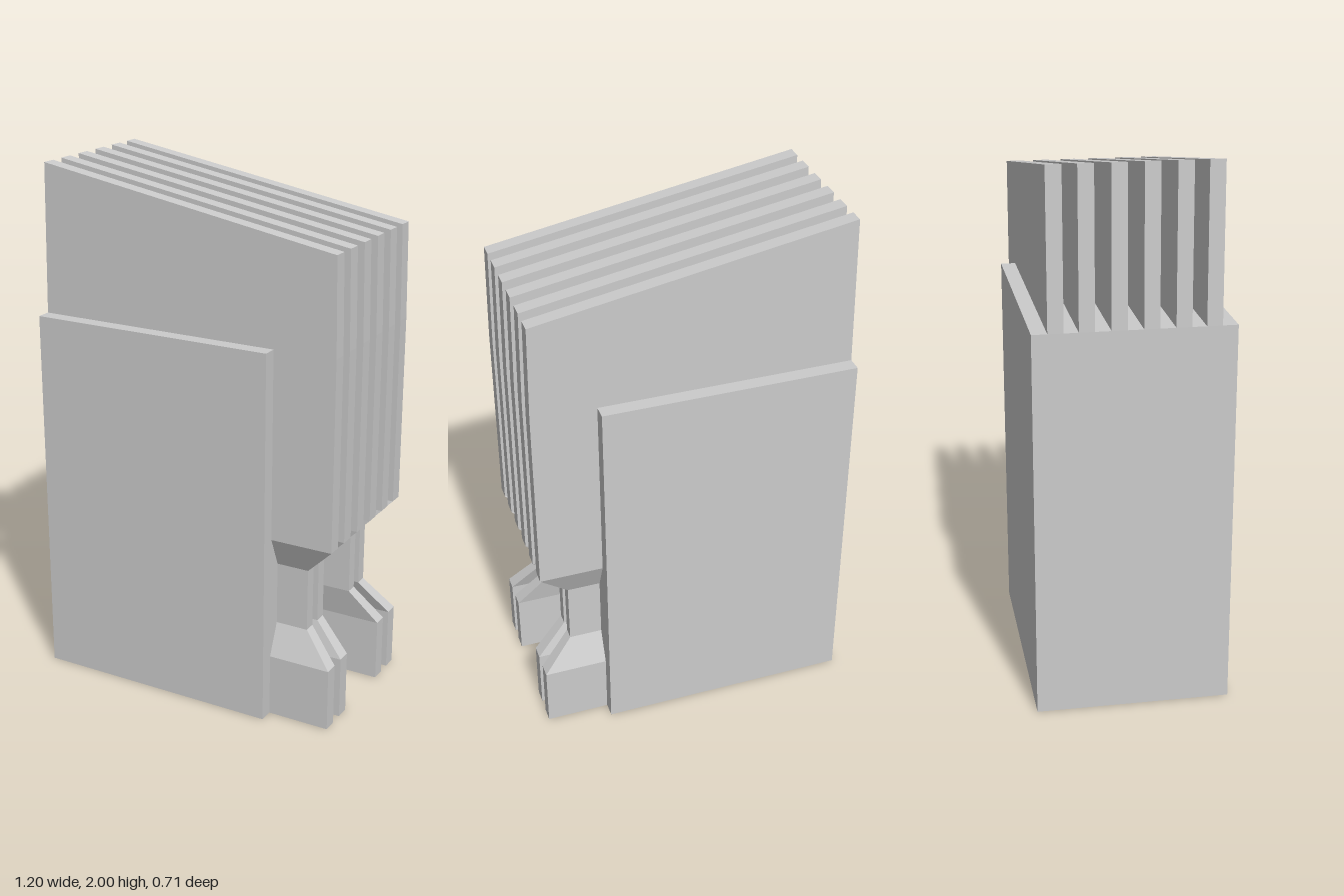
import * as THREE from 'three';

const material = new THREE.MeshStandardMaterial({ color: 0xcccccc, flatShading: true });
const BLOCK = { back: -0.6, front: 0.355, height: 1.435, half: 0.355 };
const FIN_Z = [0.2725, 0.1665, 0.0555];
const FIN_HALF = 0.0275;

// Skins a stack of four-cornered rings, listed from bottom to top, and caps both ends
function loft(rings) {
  const positions = rings.flat(2);
  const index = [0, 1, 2, 0, 2, 3];
  for (let r = 0; r < rings.length - 1; r++) {
    for (let i = 0; i < 4; i++) {
      const a = r * 4 + i, b = r * 4 + (i + 1) % 4;
      index.push(a, a + 4, b + 4, a, b + 4, b);
    }
  }
  const t = (rings.length - 1) * 4;
  index.push(t, t + 2, t + 1, t, t + 3, t + 2);
  const indexed = new THREE.BufferGeometry();
  indexed.setAttribute('position', new THREE.Float32BufferAttribute(positions, 3));
  indexed.setIndex(index);
  const geometry = indexed.toNonIndexed();
  geometry.computeVertexNormals();
  return geometry;
}

// One upright fin: pinched waist low on the front edge, sloping top
function finGeometry(z, hasFoot) {
  const inside = BLOCK.front - 0.03;
  // y at rear edge, y at front edge, rear x, front x, sideways squeeze
  const foot = [
    [0, 0, inside, 0.595, 1],
    [0.24, 0.24, inside, 0.595, 1],
    [0.36, 0.36, inside, 0.48, 0.83],
  ];
  const body = [
    [0.6, 0.6, inside, 0.48, 0.83],
    [0.715, 0.715, inside, 0.595, 1],
    [BLOCK.height, BLOCK.height, inside, 0.595, 1],
    [BLOCK.height, BLOCK.height, BLOCK.back, 0.595, 1],
    [2, 1.795, -0.588, 0.588, 1],
  ];
  const levels = hasFoot ? [...foot, ...body] : body;
  return loft(levels.map(([yRear, yFront, x0, x1, squeeze]) => {
    const z0 = (z - FIN_HALF) * squeeze, z1 = (z + FIN_HALF) * squeeze;
    return [[x0, yRear, z0], [x1, yFront, z0], [x1, yFront, z1], [x0, yRear, z1]];
  }));
}

function rectangle(target, z0, z1, y0, y1) {
  target.moveTo(z0, y0);
  target.lineTo(z1, y0);
  target.lineTo(z1, y1);
  target.lineTo(z0, y1);
  target.closePath();
  return target;
}

export function createModel() {
  const model = new THREE.Group();
  model.name = 'finnedBlock';
  const add = (geometry, name) => {
    const mesh = new THREE.Mesh(geometry, material);
    mesh.name = name;
    model.add(mesh);
    return mesh;
  };

  // Solid rear of the block
  const recess = 0.04;
  const depth = BLOCK.front - recess - BLOCK.back;
  add(new THREE.BoxGeometry(depth, BLOCK.height, BLOCK.half * 2), 'block')
    .position.set(BLOCK.back + depth / 2, BLOCK.height / 2, 0);

  // Face plate with a narrow slot between each pair of fins
  const plate = rectangle(new THREE.Shape(), -BLOCK.half, BLOCK.half, 0, BLOCK.height);
  for (let i = -2; i <= 2; i++) {
    const z = i * 0.11;
    plate.holes.push(rectangle(new THREE.Path(), z - 0.0175, z + 0.0175, 0.725, 1.423));
  }
  const face = add(new THREE.ExtrudeGeometry(plate, { depth: recess, bevelEnabled: false }), 'slottedFace');
  face.rotation.y = Math.PI / 2;
  face.position.x = BLOCK.front - recess;

  // Six fins in mirrored pairs; the middle pair has no foot
  FIN_Z.forEach((z, i) => {
    for (const side of [1, -1]) {
      add(finGeometry(side * z, i < 2), (side > 0 ? 'front' : 'rear') + 'Fin' + (i + 1));
    }
  });
  return model;
}
